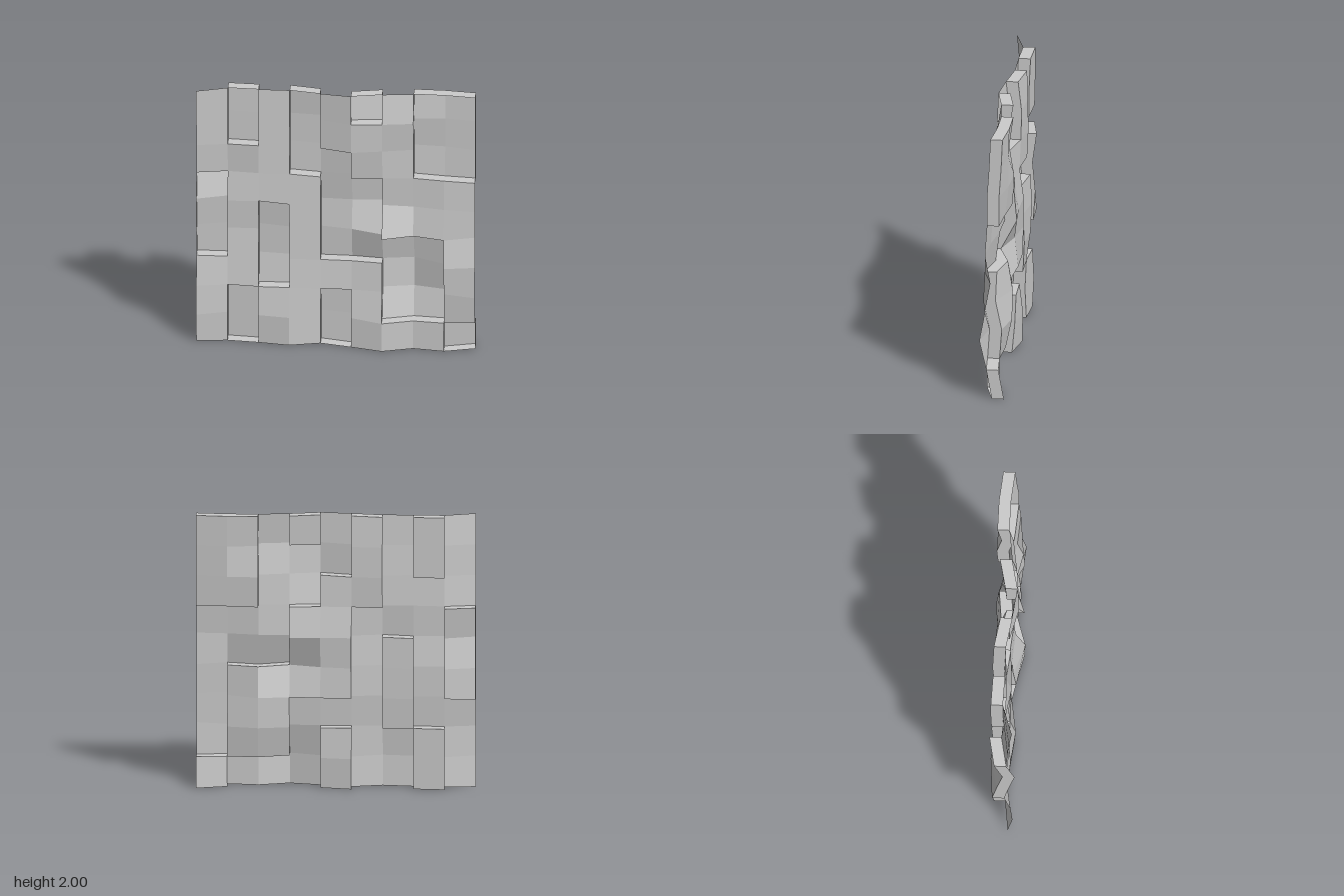
import * as THREE from 'three';

const N = 9, CELL = 2 / N, DEPTH = 0.087;

// Surface relief in hundredths, one row per grid line from top to bottom
const RELIEF = [
  [5, -2, -1, -1, 3, 6, 1.5, -1, -0.5, 2],
  [3, -2, 0, -1.5, 0.5, 7, 5, 2, 0, 3],
  [2, -1.5, 0, -2, 1, 7, 3, -1.5, 0, 4.5],
  [1, -3, -1, -1, 2, 3, 1, -0.5, 2.5, 4.5],
  [7, 0, -1, 3, -1, 0, -1, 0, 4, 6],
  [3, -2, -2, 2, -1, 3, 10.5, 3, 8.5, 2],
  [-0.5, -0.5, -1, 1, 0, 0.5, 3, -0.5, 9.5, 6],
  [4, 0, 2, 2, 2, 2, 4, 0, 5, 10],
  [5.5, -1, 3, 6, -0.5, 3, 11, 4.5, 6.5, 5],
  [2, 0, 2, 5, 0, 5, 10.5, 4, 7, 1],
];

// Cells pushed towards the back
const PUSHED = [
  '.#.#.#.##',
  '.#.#...##',
  '...##..##',
  '#...##...',
  '#.#.##...',
  '#.#.####.',
  '..#...##.',
  '.#..#.##.',
  '.#..#...#',
];

const isPushed = (r, c) => r >= 0 && c >= 0 && r < N && c < N && PUSHED[r][c] === '#';

// Grid point, either on the front level or on the pushed level
const point = (r, c, back) =>
  new THREE.Vector3(-1 + c * CELL, 2 - r * CELL, RELIEF[r][c] / 100 - (back ? DEPTH : 0));

// Two triangles sharing one normal, so each cell reads as a single facet
function quad(list, a, b, c, d) {
  const normal = c.clone().sub(a).cross(d.clone().sub(b)).normalize();
  for (const p of [a, b, c, a, c, d]) {
    list.position.push(p.x, p.y, p.z);
    list.normal.push(normal.x, normal.y, normal.z);
  }
}

function makeMesh(name, list, material) {
  const geometry = new THREE.BufferGeometry();
  for (const key of ['position', 'normal']) {
    geometry.setAttribute(key, new THREE.Float32BufferAttribute(list[key], 3));
  }
  const mesh = new THREE.Mesh(geometry, material);
  mesh.name = name;
  return mesh;
}

export function createModel() {
  const group = new THREE.Group();
  group.name = 'reliefPanel';
  const material = new THREE.MeshStandardMaterial({ color: 0xcccccc, side: THREE.DoubleSide });
  const [sheet, pushed, walls] = [0, 1, 2].map(() => ({ position: [], normal: [] }));

  for (let r = 0; r < N; r++) {
    for (let c = 0; c < N; c++) {
      const back = isPushed(r, c);
      // Cell face, corners counter-clockwise from the front
      quad(back ? pushed : sheet,
        point(r + 1, c, back), point(r + 1, c + 1, back),
        point(r, c + 1, back), point(r, c, back));
      if (!back) continue;
      // Walls on each side that borders an unpushed cell or the panel's rim
      const sides = [
        [-1, 0, r, c + 1, r, c],
        [1, 0, r + 1, c, r + 1, c + 1],
        [0, -1, r, c, r + 1, c],
        [0, 1, r + 1, c + 1, r, c + 1],
      ];
      for (const [dr, dc, r0, c0, r1, c1] of sides) {
        if (isPushed(r + dr, c + dc)) continue;
        quad(walls, point(r0, c0, false), point(r0, c0, true),
          point(r1, c1, true), point(r1, c1, false));
      }
    }
  }

  group.add(
    makeMesh('frontSheet', sheet, material),
    makeMesh('pushedPanels', pushed, material),
    makeMesh('stepWalls', walls, material),
  );
  return group;
}
